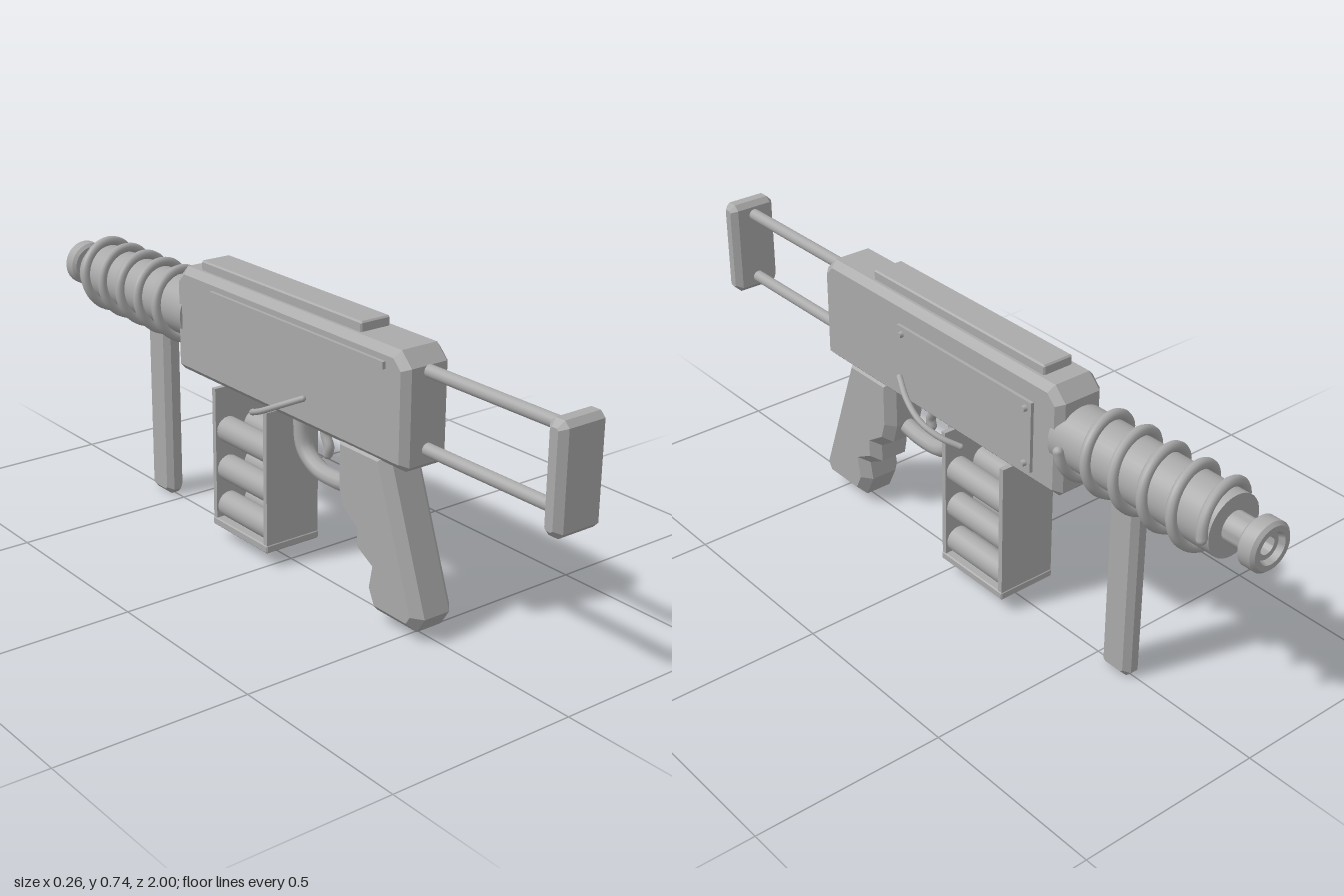
import * as THREE from 'three';
import { toCreasedNormals } from 'three/addons/utils/BufferGeometryUtils.js';

export function createModel() {
  const root = new THREE.Group();
  root.name = 'prop';
  const grey = new THREE.MeshStandardMaterial({ color: 0xaaaaaa });
  grey.name = 'metal grey';

  const add = (name, geo, x = 0, y = 0, z = 0) => {
    const m = new THREE.Mesh(geo, grey);
    m.name = name;
    m.position.set(x, y, z);
    root.add(m);
    return m;
  };
  // Side profile given as [z, y] points, extruded across x with chamfered edges
  const slab = (pts, width, bevel) => {
    const shape = new THREE.Shape(pts.map(([z, y]) => new THREE.Vector2(z, y)));
    const depth = width - 2 * bevel;
    const g = new THREE.ExtrudeGeometry(shape, {
      depth, bevelEnabled: true, bevelThickness: bevel, bevelSize: bevel, bevelOffset: -bevel, bevelSegments: 1,
    });
    return g.translate(0, 0, -depth / 2).rotateY(-Math.PI / 2);
  };
  // Rectangle with cut corners: ct at the top, cb at the bottom
  const cutRect = (z0, z1, y0, y1, ct, cb) => [
    [z0 + cb, y0], [z1 - cb, y0], [z1, y0 + cb], [z1, y1 - ct],
    [z1 - ct, y1], [z0 + ct, y1], [z0, y1 - ct], [z0, y0 + cb],
  ];
  const box = (name, x0, x1, y0, y1, z0, z1) =>
    add(name, new THREE.BoxGeometry(x1 - x0, y1 - y0, z1 - z0), (x0 + x1) / 2, (y0 + y1) / 2, (z0 + z1) / 2);
  const rodZ = (name, r, x, y, z0, z1) =>
    add(name, new THREE.CylinderGeometry(r, r, z1 - z0, 20).rotateX(Math.PI / 2), x, y, (z0 + z1) / 2);
  // Round tube with closed ends through [x, y, z] points
  const tube = (name, pts, r, segs = 24) => {
    const v = pts.map((p) => new THREE.Vector3(...p));
    add(name, new THREE.TubeGeometry(new THREE.CatmullRomCurve3(v), segs, r, 10));
    for (const end of [v[0], v[v.length - 1]]) add(name + 'End', new THREE.SphereGeometry(r, 10, 8), end.x, end.y, end.z);
  };

  // Main body, top rail and side fittings
  add('body', slab(cutRect(-0.41, 0.515, 0.428, 0.715, 0.036, 0.012), 0.14, 0.018));
  add('topRail', slab(cutRect(-0.325, 0.325, 0.705, 0.74, 0.004, 0.004), 0.088, 0.004));
  box('sidePanel', 0.066, 0.079, 0.463, 0.652, -0.322, 0.187);
  for (const y of [0.483, 0.632]) for (const z of [-0.302, 0.167])
    add('rivet', new THREE.CylinderGeometry(0.007, 0.009, 0.012, 10).rotateZ(-Math.PI / 2), 0.083, y, z);
  box('sideStrip', -0.079, -0.066, 0.665, 0.683, -0.24, 0.445);

  // Sliding stock
  for (const y of [0.475, 0.665]) rodZ('stockRod', 0.016, 0, y, 0.5, 0.96);
  add('buttPlate', slab(cutRect(0.945, 1.0, 0.438, 0.702, 0.014, 0.014), 0.136, 0.016));

  // Pistol grip with finger notches
  add('grip', slab([
    [0.43, 0.45], [0.567, 0.07], [0.54, 0.028], [0.395, 0.028], [0.365, 0.09], [0.375, 0.14],
    [0.32, 0.17], [0.32, 0.22], [0.267, 0.255], [0.25, 0.31], [0.25, 0.45],
  ].reverse(), 0.124, 0.024));

  // Trigger and guard
  tube('triggerGuard', [[0, 0.3, 0.27], [0, 0.288, 0.19], [0, 0.295, 0.11], [0, 0.335, 0.057], [0, 0.44, 0.045]], 0.023);
  tube('trigger', [[0, 0.44, 0.14], [0, 0.395, 0.14], [0, 0.365, 0.155], [0, 0.345, 0.15]], 0.013, 14);

  // Open-sided magazine with two columns of rounds
  box('magazineRearWall', -0.082, 0.082, 0.05, 0.427, -0.008, 0.006);
  box('magazineFrontWall', -0.082, 0.082, 0.05, 0.427, -0.23, -0.216);
  add('magazineBase', slab(cutRect(-0.232, 0.008, 0.042, 0.064, 0.003, 0.003), 0.168, 0.003));
  for (const x of [-0.043, 0.043]) for (const y of [0.096, 0.2, 0.308])
    rodZ('round', 0.035, x, y, -0.22, -0.004);

  // Front handle, tapered at the foot
  add('frontHandle', slab(cutRect(-0.625, -0.53, 0.003, 0.51, 0.015, 0.015), 0.052, 0.015));

  // Barrel, neck and hollow muzzle
  const profile = [
    [0, 0.38], [0.078, 0.38], [0.078, 0.89], [0.038, 0.89], [0.038, 0.95], [0.053, 0.95], [0.062, 0.958],
    [0.062, 0.992], [0.054, 1.0], [0.04, 1.0], [0.035, 0.985], [0.022, 0.985], [0.022, 0.93], [0, 0.93],
  ].map(([r, y]) => new THREE.Vector2(r, y));
  add('barrel', toCreasedNormals(new THREE.LatheGeometry(profile, 32).rotateX(-Math.PI / 2), 0.6), 0, 0.578, 0);

  // Coil wound around the barrel
  const coil = [];
  for (let i = 0; i <= 100; i++) {
    const t = i / 100, a = Math.PI / 2 + t * 10 * Math.PI;
    coil.push([0.09 * Math.sin(a), 0.578 + 0.09 * Math.cos(a), -0.43 - 0.452 * t]);
  }
  tube('coil', coil, 0.013, 240);

  // Bowed wire on each side
  for (const s of [-1, 1]) tube('sideWire', [
    [s * 0.09, 0.515, 0.165], [s * 0.114, 0.485, 0.105], [s * 0.122, 0.453, 0.04],
    [s * 0.105, 0.428, -0.02], [s * 0.075, 0.41, -0.06],
  ], 0.008);

  return root;
}
